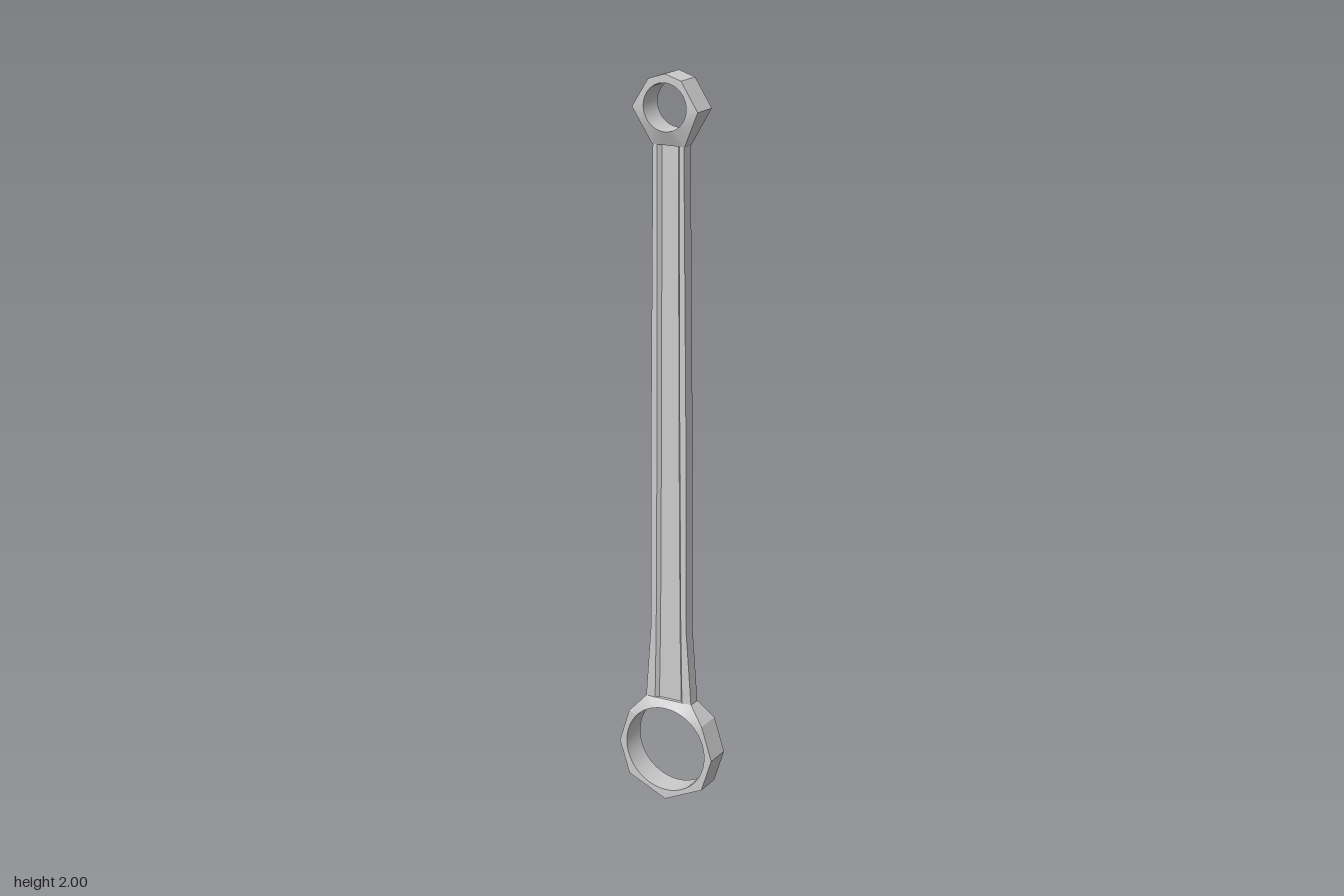
import * as THREE from 'three';
import { toCreasedNormals } from 'three/addons/utils/BufferGeometryUtils.js';

const RING_DEPTH = 0.037; // half thickness of both eyes
const BEAM_DEPTH = 0.018; // half thickness of the shank

// Skins a list of equal cross-section loops; wraps back to the first when closed
function loft(sections, closed) {
  const pos = [];
  const n = sections[0].length;
  const last = closed ? sections.length : sections.length - 1;
  for (let i = 0; i < last; i++) {
    const s = sections[i];
    const t = sections[(i + 1) % sections.length];
    for (let j = 0; j < n; j++) {
      const k = (j + 1) % n;
      pos.push(...s[j], ...s[k], ...t[k], ...s[j], ...t[k], ...t[j]);
    }
  }
  const geo = new THREE.BufferGeometry();
  geo.setAttribute('position', new THREE.Float32BufferAttribute(pos, 3));
  return toCreasedNormals(geo, 0.25);
}

// Faceted eye with a round bore; outline points are [x, y, half depth], counterclockwise
function eyeGeometry(outline, cy, bore, steps = 6) {
  const sections = [];
  outline.forEach((p, i) => {
    const q = outline[(i + 1) % outline.length];
    for (let s = 0; s < steps; s++) {
      const [x, y, d] = p.map((v, c) => THREE.MathUtils.lerp(v, q[c], s / steps));
      const a = Math.atan2(y - cy, x);
      const ix = bore * Math.cos(a);
      const iy = cy + bore * Math.sin(a);
      sections.push([[x, y, d], [x, y, -d], [ix, iy, -RING_DEPTH], [ix, iy, RING_DEPTH]]);
    }
  });
  return loft(sections, true);
}

// I-beam section: flange half width w, groove half width g
function beamSection(y, w, g) {
  const d = BEAM_DEPTH;
  const web = 0.008;
  const f = g - 0.008;
  const front = [[-w, d], [-g, d], [-f, web], [f, web], [g, d], [w, d]];
  const back = front.map(([x, z]) => [-x, -z]);
  return [...front, ...back].map(([x, z]) => [x, y, z]);
}

export function createModel() {
  const group = new THREE.Group();
  const material = new THREE.MeshStandardMaterial({ color: 0xcccccc });
  const add = (name, geometry) => {
    const mesh = new THREE.Mesh(geometry, material);
    mesh.name = name;
    group.add(mesh);
  };
  const R = RING_DEPTH;
  const B = BEAM_DEPTH;

  // Large lower eye, thinning where it meets the shank
  add('bigEnd', eyeGeometry([
    [0.143, 0.145, R], [0.113, 0.24, R], [0.07, 0.288, B], [-0.07, 0.288, B],
    [-0.113, 0.24, R], [-0.143, 0.145, R], [-0.113, 0.052, R], [0, 0, R], [0.113, 0.052, R],
  ], 0.149, 0.121));

  // Small upper eye
  add('smallEnd', eyeGeometry([
    [0.095, 1.91, R], [0.047, 1.985, R], [0, 2, R], [-0.047, 1.985, R],
    [-0.095, 1.91, R], [-0.047, 1.815, B], [0.047, 1.815, B],
  ], 1.915, 0.062));

  // Grooved shank, flaring toward the large eye
  add('shank', loft([
    beamSection(0.282, 0.07, 0.042),
    beamSection(0.5, 0.054, 0.038),
    beamSection(1.1, 0.052, 0.034),
    beamSection(1.825, 0.045, 0.032),
  ], false));

  return group;
}
